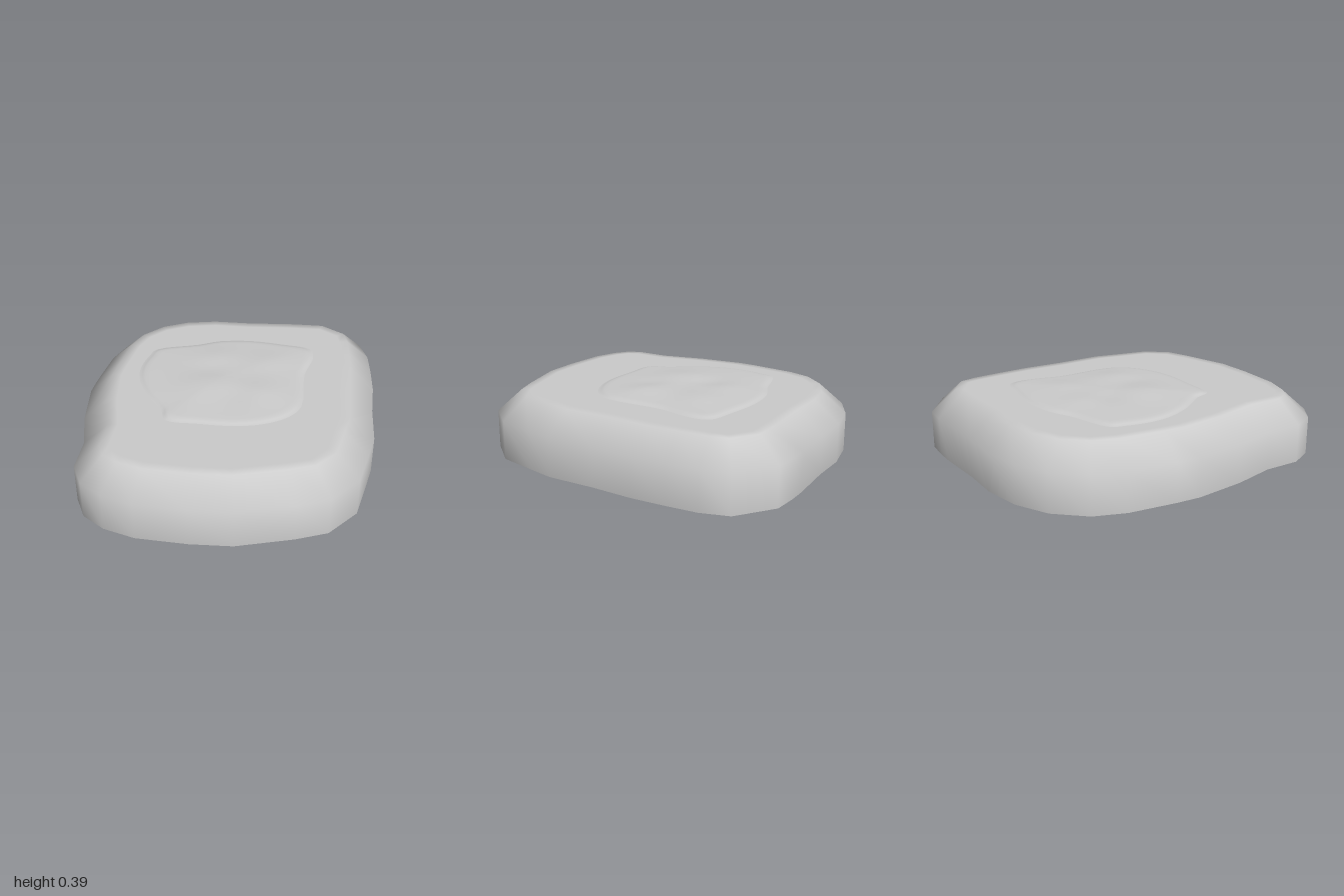
import * as THREE from 'three';

const TOP = 0.353;
const material = new THREE.MeshStandardMaterial({ color: 0xcccccc, side: THREE.DoubleSide });

// Outer rim, as [x, z] corners, clockwise from above
const RIM = [
  [-0.2, -0.98], [0.03, -0.98], [0.33, -1], [0.44, -1], [0.58, -0.99], [0.79, -0.84],
  [0.84, -0.68], [0.855, -0.5], [0.865, -0.29], [0.855, -0.04], [0.86, 0.25], [0.825, 0.42],
  [0.775, 0.65], [0.625, 0.83], [0.45, 0.9], [0.135, 0.99], [-0.1, 1], [-0.39, 0.985],
  [-0.57, 0.93], [-0.7, 0.84], [-0.77, 0.7], [-0.77, 0.48], [-0.83, 0.23], [-0.865, -0.07],
  [-0.855, -0.21], [-0.82, -0.49], [-0.755, -0.67], [-0.61, -0.835], [-0.42, -0.935],
].map(([x, z]) => new THREE.Vector2(x, z));

// Irregular edge of the raised patch
const PATCH = [
  [-0.51, -0.41], [-0.26, -0.5], [-0.12, -0.565], [0.08, -0.59], [0.29, -0.565], [0.46, -0.525],
  [0.485, -0.42], [0.44, -0.2], [0.435, 0.16], [0.37, 0.275], [0.24, 0.36], [0.08, 0.4],
  [-0.13, 0.4], [-0.315, 0.385], [-0.36, 0.28], [-0.475, 0.12], [-0.55, -0.05],
  [-0.565, -0.19], [-0.54, -0.33],
].map(([x, z]) => new THREE.Vector3(x, 0, z));

// Joins closed rings of Vector3, each ring above or inside the one before
function loft(rings) {
  const n = rings[0].length;
  const index = [];
  for (let r = 0; r < rings.length - 1; r++) {
    for (let j = 0; j < n; j++) {
      const k = (j + 1) % n;
      const a = r * n + j, b = r * n + k, c = a + n, d = b + n;
      index.push(a, c, d, a, d, b);
    }
  }
  const geometry = new THREE.BufferGeometry().setFromPoints(rings.flat());
  geometry.setIndex(index);
  geometry.computeVertexNormals();
  return geometry;
}

// Moves the rim inwards by a distance and lifts it to a height
function insetRim(distance, y) {
  return RIM.map((p, i) => {
    const before = RIM[(i + RIM.length - 1) % RIM.length];
    const after = RIM[(i + 1) % RIM.length];
    const t1 = p.clone().sub(before).normalize();
    const t2 = after.clone().sub(p).normalize();
    const t = t1.add(t2).normalize();
    return new THREE.Vector3(p.x - t.y * distance, y, p.y + t.x * distance);
  });
}

// Height of the bumpy patch; t is 1 at its edge and 0 in its middle
function patchHeight(x, z, t) {
  const bump = (cx, cz, w) => Math.exp(-((x - cx) ** 2 + (z - cz) ** 2) / (w * w));
  const lip = 0.009 * THREE.MathUtils.smoothstep(1 - t, 0, 0.08);
  const dome = 0.013 * (1 - t * t);
  const lumps = 0.012 * bump(-0.15, 0.04, 0.16) + 0.012 * bump(0.22, 0.05, 0.14)
    + 0.008 * bump(-0.1, -0.34, 0.13) + 0.008 * bump(0.2, -0.3, 0.15)
    - 0.006 * bump(-0.13, -0.18, 0.1) - 0.004 * bump(0.06, 0.12, 0.09);
  return TOP + lip + dome + lumps * (1 - t ** 4);
}

function addMesh(group, name, geometry) {
  const mesh = new THREE.Mesh(geometry, material);
  mesh.name = name;
  group.add(mesh);
}

export function createModel() {
  const group = new THREE.Group();
  group.name = 'hollowSlab';

  // Upright wall and sloping shoulder, open underneath
  const inner = insetRim(0.2, TOP);
  addMesh(group, 'wallAndShoulder', loft([
    insetRim(0, 0), insetRim(0, 0.225), insetRim(0.145, TOP), inner,
  ]));

  // Flat top around the patch
  const edge = new THREE.CatmullRomCurve3(PATCH, true, 'centripetal').getPoints(76).slice(0, -1);
  const flat = (points) => points.map((p) => new THREE.Vector2(p.x, -p.z));
  const plate = new THREE.Shape(flat(inner));
  plate.holes.push(new THREE.Path(flat(edge)));
  const top = new THREE.ShapeGeometry(plate);
  top.rotateX(-Math.PI / 2);
  top.translate(0, TOP, 0);
  addMesh(group, 'flatTop', top);

  // Raised, gently uneven patch
  const centre = new THREE.Vector3(-0.04, 0, -0.09);
  const steps = [1, 0.98, 0.96, 0.93, 0.88, 0.8, 0.72, 0.64, 0.56, 0.48, 0.4, 0.32, 0.24, 0.16, 0.08, 0.002];
  addMesh(group, 'raisedPatch', loft(steps.map((t) => edge.map((p) => {
    const q = centre.clone().lerp(p, t);
    q.y = patchHeight(q.x, q.z, t);
    return q;
  }))));

  return group;
}
